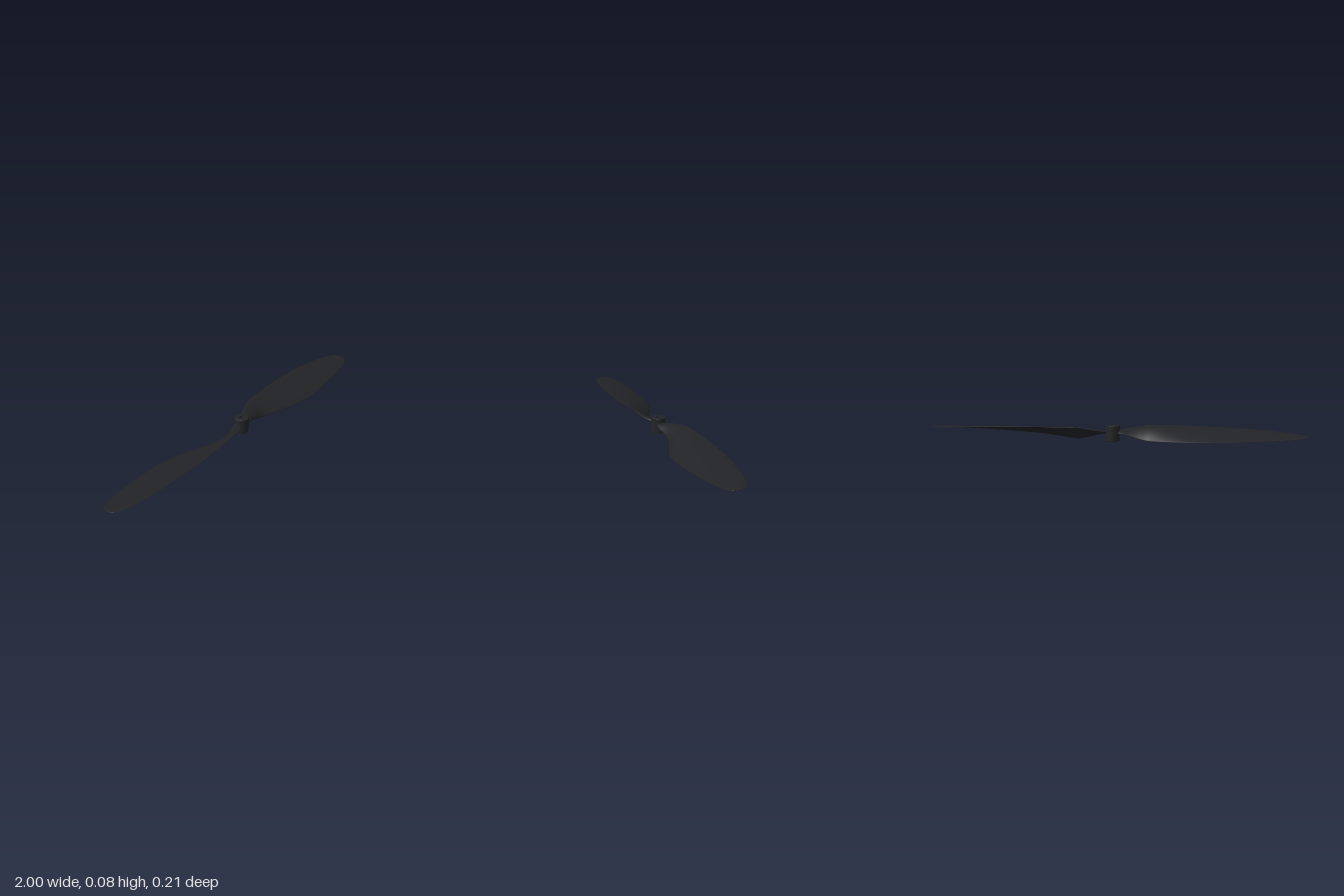
import * as THREE from 'three';

// Blade stations: x, back edge z/y, front edge z/y, thickness, camber
const STATIONS = [
  [0.03, -0.022, 0.048, 0.022, 0.042, 0.02, 0],
  [0.06, -0.046, 0.056, 0.019, 0.036, 0.019, 0.001],
  [0.10, -0.064, 0.064, 0.011, 0.025, 0.018, 0.003],
  [0.15, -0.077, 0.074, 0.009, 0.011, 0.016, 0.005],
  [0.20, -0.086, 0.078, 0.017, 0.005, 0.014, 0.006],
  [0.30, -0.096, 0.077, 0.055, 0.010, 0.012, 0.007],
  [0.40, -0.102, 0.076, 0.090, 0.015, 0.011, 0.007],
  [0.50, -0.105, 0.074, 0.104, 0.019, 0.010, 0.007],
  [0.60, -0.104, 0.071, 0.103, 0.024, 0.009, 0.006],
  [0.70, -0.100, 0.068, 0.096, 0.029, 0.008, 0.005],
  [0.80, -0.089, 0.063, 0.086, 0.034, 0.007, 0.004],
  [0.90, -0.072, 0.058, 0.071, 0.040, 0.006, 0.003],
  [0.96, -0.054, 0.054, 0.053, 0.044, 0.005, 0.002],
  [0.99, -0.034, 0.052, 0.034, 0.046, 0.004, 0.001],
  [1.00, -0.012, 0.050, 0.012, 0.048, 0.003, 0],
];

const curve = (pick) => new THREE.CatmullRomCurve3(
  STATIONS.map((s) => new THREE.Vector3(...pick(s))), false, 'catmullrom', 0.5);

// Twisted blade lofted from cambered oval sections
function bladeGeometry() {
  const back = curve((s) => [s[0], s[2], s[1]]);
  const front = curve((s) => [s[0], s[4], s[3]]);
  const body = curve((s) => [s[0], s[5], s[6]]);
  const rows = (STATIONS.length - 1) * 5, around = 32;
  const pos = [], index = [];

  for (let i = 0; i <= rows; i++) {
    const b = back.getPoint(i / rows), f = front.getPoint(i / rows);
    const { y: thick, z: camber } = body.getPoint(i / rows);
    const dz = f.z - b.z, dy = f.y - b.y, len = Math.hypot(dz, dy);
    for (let j = 0; j < around; j++) {
      const a = (j / around) * Math.PI * 2;
      const s = (1 - Math.cos(a)) / 2;
      const h = Math.sin(a) * thick / 2 + camber * 4 * s * (1 - s);
      pos.push(b.x, b.y + dy * s + (dz / len) * h, b.z + dz * s - (dy / len) * h);
    }
  }
  for (let i = 0; i < rows; i++) {
    for (let j = 0; j < around; j++) {
      const a = i * around + j, b = i * around + (j + 1) % around;
      index.push(a, b, a + around, b, b + around, a + around);
    }
  }
  // Tip cap
  const last = rows * around, tip = pos.length / 3;
  pos.push(1, 0.049, 0);
  for (let j = 0; j < around; j++) index.push(last + j, last + (j + 1) % around, tip);

  const g = new THREE.BufferGeometry();
  g.setAttribute('position', new THREE.Float32BufferAttribute(pos, 3));
  g.setIndex(index);
  g.computeVertexNormals();
  return g;
}

// Hub profile with a through bore and a wider recess underneath
function hubGeometry() {
  const profile = [
    [0.012, 0.018], [0.022, 0.018], [0.022, 0], [0.037, 0], [0.038, 0.001],
    [0.038, 0.079], [0.037, 0.08], [0.012, 0.08], [0.012, 0.018],
  ].map(([r, y]) => new THREE.Vector2(r, y));
  // Separate bands keep the rims sharp
  return profile.slice(1).map((p, i) => new THREE.LatheGeometry([profile[i], p], 48));
}

export function createModel() {
  const model = new THREE.Group();
  model.name = 'propeller';
  const material = new THREE.MeshStandardMaterial({ color: 0x222326 });

  const hub = new THREE.Group();
  hub.name = 'hub';
  hubGeometry().forEach((g) => {
    const band = new THREE.Mesh(g, material);
    band.name = 'hubBand';
    hub.add(band);
  });
  model.add(hub);

  const geometry = bladeGeometry();
  ['leftBlade', 'rightBlade'].forEach((name, i) => {
    const blade = new THREE.Mesh(geometry, material);
    blade.name = name;
    blade.rotation.y = i * Math.PI;
    model.add(blade);
  });
  return model;
}
